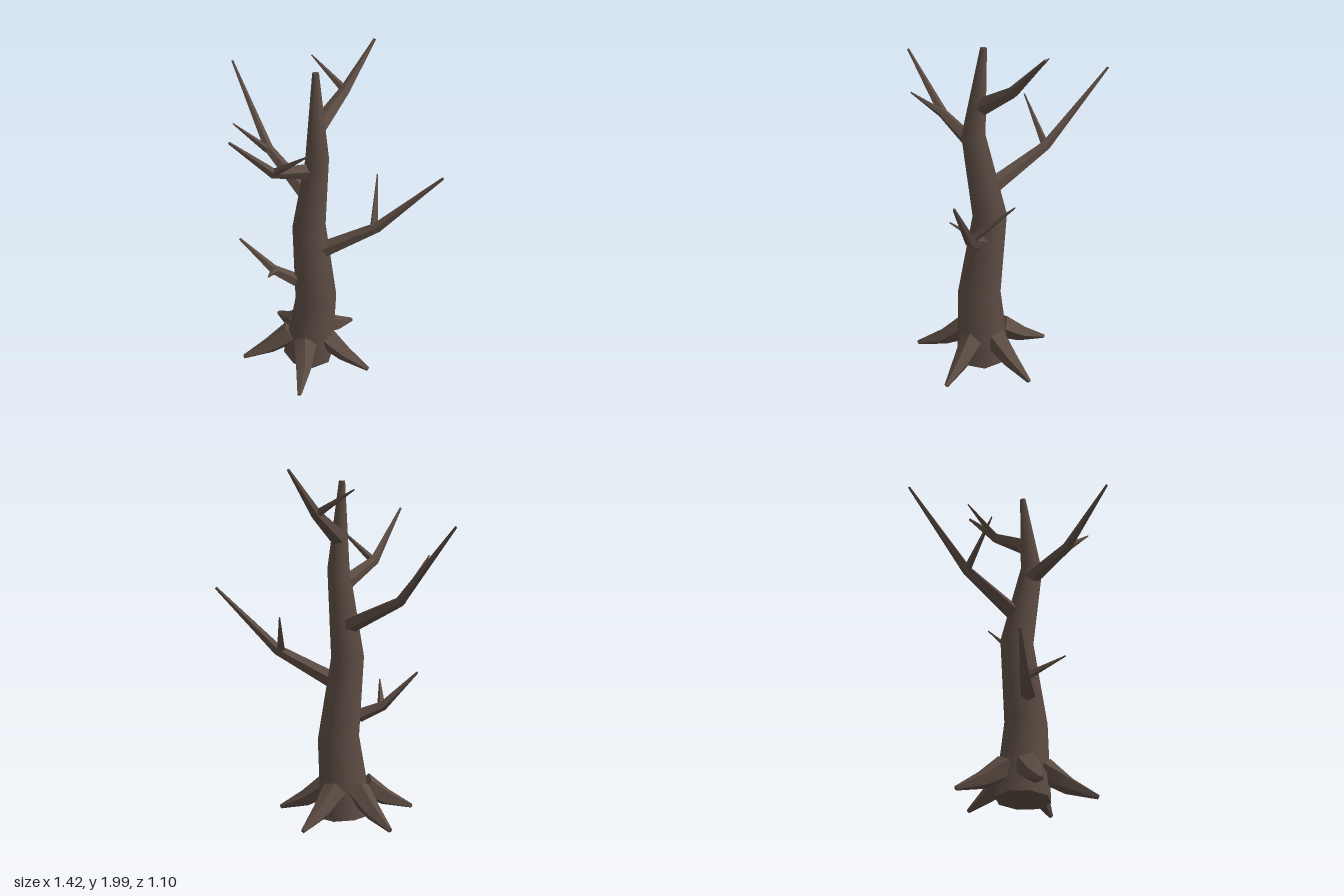
import * as THREE from 'three';
import { toCreasedNormals } from 'three/addons/utils/BufferGeometryUtils.js';

const bark = new THREE.MeshStandardMaterial({ color: 0x5c4c43 });
bark.name = 'bark brown';

// Tapered, bent limb: a closed tube through rings given as [x, y, z, radius]
function limb(name, rings, sides = 5) {
  const pts = rings.map(([x, y, z]) => new THREE.Vector3(x, y, z));
  const n = pts.length, pos = [], idx = [];
  const ref = new THREE.Vector3(0.3, 0, 1).normalize();
  if (sides > 5) ref.set(0, 0, 1);
  pts.forEach((p, i) => {
    const t = new THREE.Vector3();
    if (i > 0) t.add(p.clone().sub(pts[i - 1]).normalize());
    if (i < n - 1) t.add(pts[i + 1].clone().sub(p).normalize());
    t.normalize();
    const helper = Math.abs(t.dot(ref)) > 0.85 ? new THREE.Vector3(0, 1, 0) : ref;
    const u = new THREE.Vector3().crossVectors(helper, t).normalize();
    const v = new THREE.Vector3().crossVectors(t, u);
    for (let j = 0; j < sides; j++) {
      const a = (j / sides) * Math.PI * 2, r = rings[i][3];
      const q = p.clone().addScaledVector(u, r * Math.cos(a)).addScaledVector(v, r * Math.sin(a));
      pos.push(q.x, q.y, q.z);
    }
  });
  for (let i = 0; i < n - 1; i++) {
    for (let j = 0; j < sides; j++) {
      const k = (j + 1) % sides, a = i * sides, b = a + sides;
      idx.push(a + j, a + k, b + k, a + j, b + k, b + j);
    }
  }
  // end caps
  const top = (n - 1) * sides;
  for (let j = 1; j < sides - 1; j++) idx.push(0, j + 1, j, top, top + j, top + j + 1);
  const geo = new THREE.BufferGeometry();
  geo.setAttribute('position', new THREE.Float32BufferAttribute(pos, 3));
  geo.setIndex(idx);
  const mesh = new THREE.Mesh(toCreasedNormals(geo, 0.87), bark);
  mesh.name = name;
  return mesh;
}

export function createModel() {
  const tree = new THREE.Group();
  tree.name = 'bareTree';

  // Crooked trunk
  tree.add(limb('trunk', [
    [0.065, 0.025, -0.07, 0.157],
    [0.11, 0.48, -0.08, 0.125],
    [0.04, 0.96, -0.098, 0.098],
    [0.123, 1.46, -0.05, 0.066],
    [0.08, 1.95, -0.085, 0.018],
  ], 8));

  // Branches: start, elbow, tip, plus a twig growing from the elbow
  const branches = [
    ['leftBranch', [0.13, 0.82, -0.11, 0.05], [0.4, 1.0, -0.27, 0.031], [0.7, 1.355, -0.435, 0.008],
      [0.38, 1.0, -0.265], [0.265, 1.21, -0.463]],
    ['rightBranch', [0.02, 1.145, -0.11, 0.048], [-0.33, 1.3, -0.2, 0.029], [-0.705, 1.705, -0.345, 0.007],
      [-0.335, 1.3, -0.19], [-0.405, 1.54, 0.023]],
    ['frontBranch', [0.085, 1.38, -0.03, 0.046], [0.045, 1.49, 0.25, 0.029], [0.01, 1.797, 0.547, 0.007],
      [0.05, 1.49, 0.245], [0.28, 1.677, 0.262]],
    ['backBranch', [0.1, 1.635, -0.1, 0.05], [0.118, 1.77, -0.32, 0.031], [0.15, 1.995, -0.547, 0.008],
      [0.11, 1.77, -0.315], [-0.135, 1.895, -0.352]],
    ['lowBranch', [0.02, 0.605, -0.005, 0.042], [-0.11, 0.665, 0.055, 0.029], [-0.29, 0.862, 0.14, 0.007],
      [-0.1, 0.665, 0.055], [0.005, 0.78, 0.25]],
  ];
  for (const [name, start, elbow, tip, twigBase, twigTip] of branches) {
    const group = new THREE.Group();
    group.name = name;
    group.add(limb('bough', [start, elbow, tip]));
    group.add(limb('twig', [[...twigBase, 0.024], [...twigTip, 0.004]]));
    tree.add(group);
  }

  // Five roots spread evenly round the foot
  for (let i = 0; i < 5; i++) {
    const a = ((-10 + 72 * i) * Math.PI) / 180;
    const ring = (d, y, r) => [0.065 + d * Math.cos(a), y, -0.07 + d * Math.sin(a), r];
    tree.add(limb('root', [ring(0.11, 0.19, 0.075), ring(0.25, 0.1, 0.05), ring(0.41, 0.032, 0.013)]));
  }
  return tree;
}
